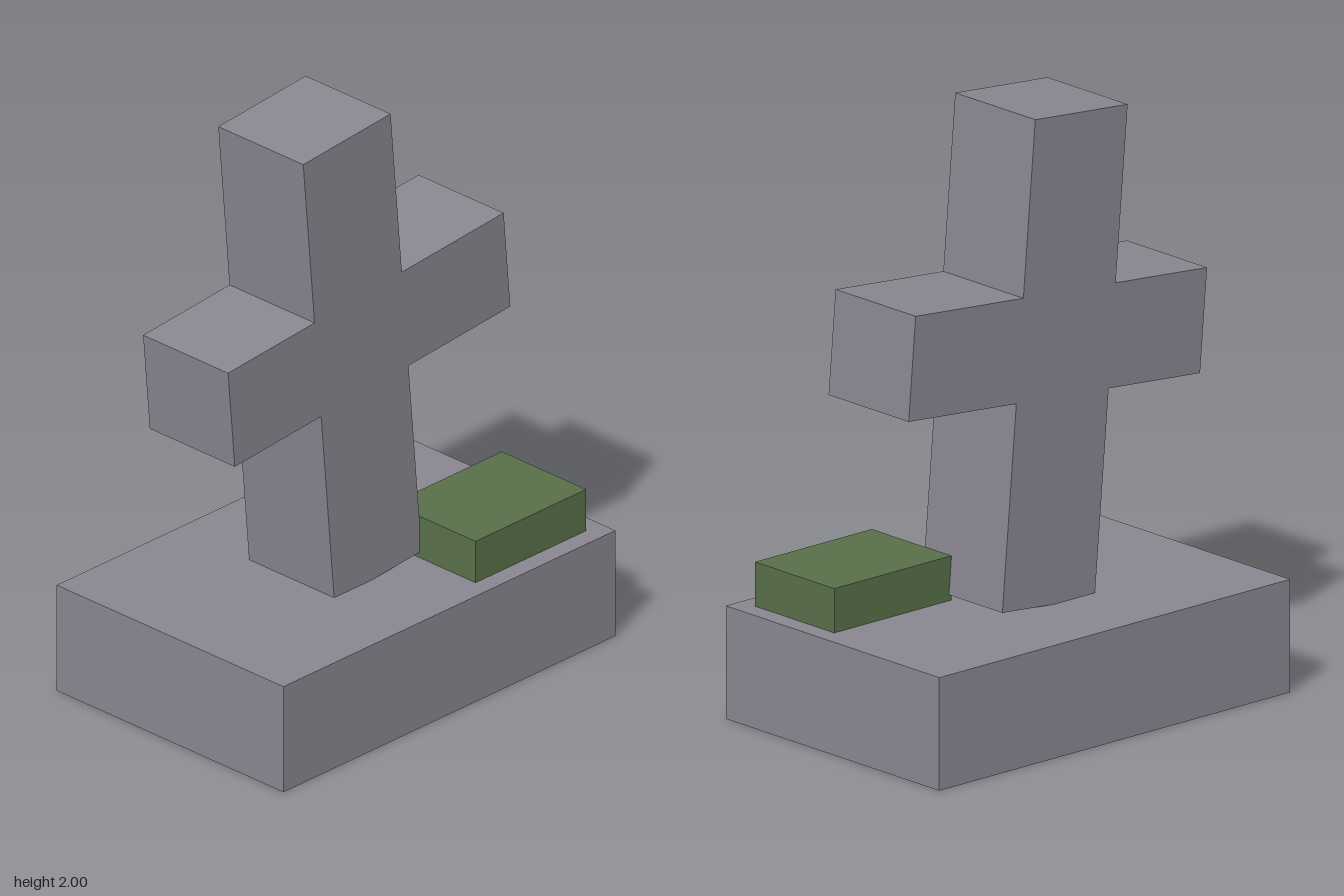
import * as THREE from 'three';

export function createModel() {
  const model = new THREE.Group();
  const stone = new THREE.MeshStandardMaterial({ color: 0x8a8691 });
  stone.name = 'greyStone';
  const moss = new THREE.MeshStandardMaterial({ color: 0x58704a });
  moss.name = 'mossGreen';

  const add = (name, geometry, material, x, y, z) => {
    const mesh = new THREE.Mesh(geometry, material);
    mesh.name = name;
    mesh.position.set(x, y, z);
    model.add(mesh);
    return mesh;
  };

  // Plinth
  add('plinth', new THREE.BoxGeometry(1.5, 0.375, 1), stone, 0, 0.1875, 0);

  // Leaning cross: one outline, with the arms set slightly off centre
  const postX = 0.198, postY = 0.806, depth = 0.375;
  const armLeft = 0.66, armRight = -0.59, armTop = 0.2225, armBottom = -0.1225;
  const outline = new THREE.Shape([
    [-postX, -postY], [postX, -postY],
    [postX, armBottom], [armLeft, armBottom], [armLeft, armTop], [postX, armTop],
    [postX, postY], [-postX, postY],
    [-postX, armTop], [armRight, armTop], [armRight, armBottom], [-postX, armBottom],
  ].map(([x, y]) => new THREE.Vector2(x, y)));
  const crossGeometry = new THREE.ExtrudeGeometry(outline, { depth, bevelEnabled: false });
  crossGeometry.translate(0, 0, -depth / 2);
  const cross = add('cross', crossGeometry, stone, -0.0725, 1.18, 0);
  cross.rotation.z = THREE.MathUtils.degToRad(5);

  // Moss block resting on the plinth beside the cross
  add('mossBlock', new THREE.BoxGeometry(0.5, 0.147, 0.372), moss, 0.435, 0.4485, 0.249);

  return model;
}
